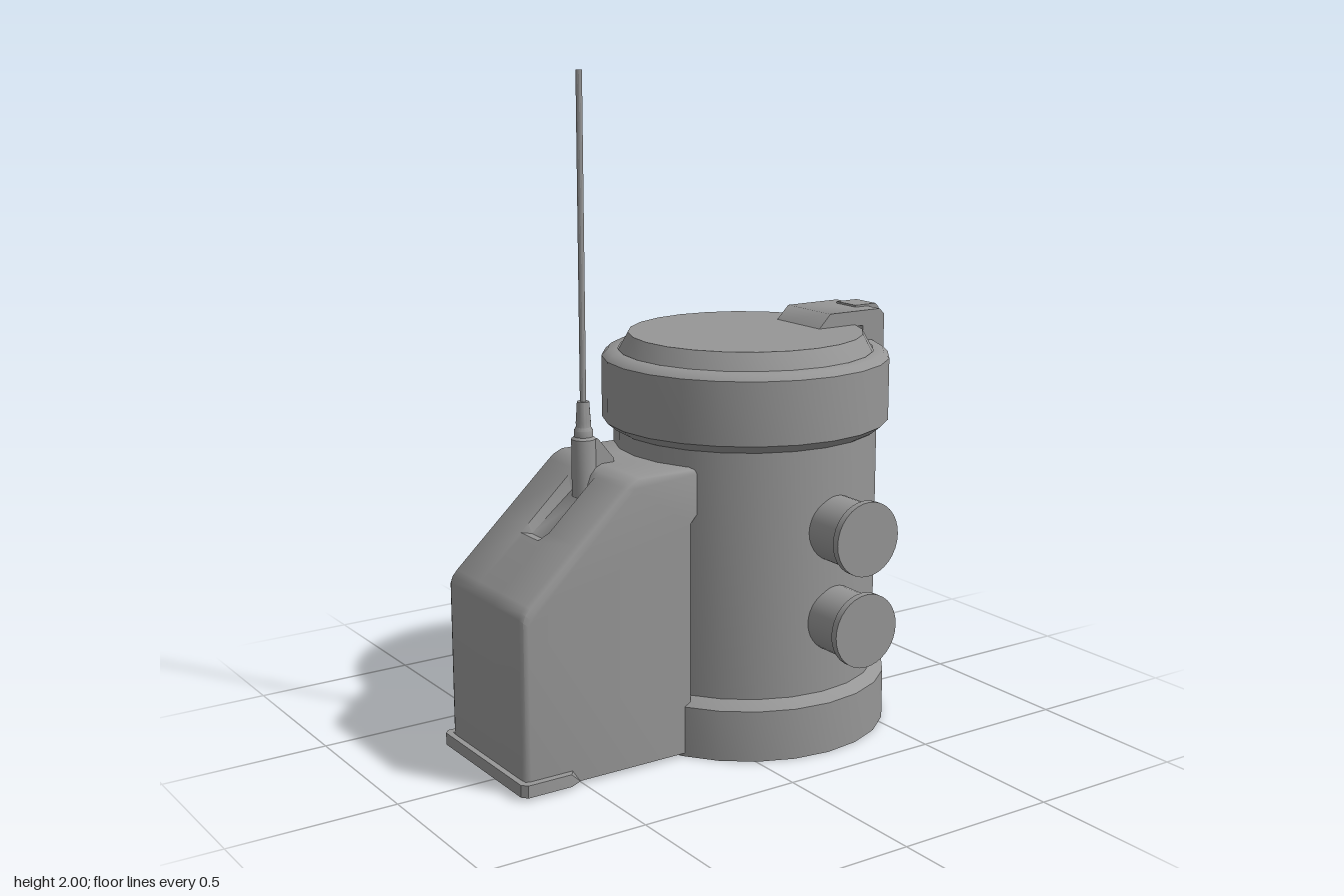
import * as THREE from 'three';
import { toCreasedNormals } from 'three/addons/utils/BufferGeometryUtils.js';

const material = new THREE.MeshStandardMaterial({ color: 0x969696, side: THREE.DoubleSide });
const CX = 0.223, CZ = -0.055; // axis of the drum; CZ is also the middle of every side part

function createPart(parent, name, geometry, x = 0, y = 0, z = 0, crease = 0.6) {
  const mesh = new THREE.Mesh(toCreasedNormals(geometry, crease), material);
  mesh.name = name;
  mesh.position.set(x, y, z);
  parent.add(mesh);
  return mesh;
}

const vectors = (pts) => pts.map(([x, y]) => new THREE.Vector2(x, y));
const lathe = (pts, segments) => new THREE.LatheGeometry(vectors(pts), segments);

// Side profile in x/y, extruded symmetrically along z
function slab(pts, width) {
  const g = new THREE.ExtrudeGeometry(new THREE.Shape(vectors(pts)), { depth: width, bevelEnabled: false });
  return g.translate(0, 0, -width / 2);
}

// Hollow housing: a roof strip with rounded rims and a shallow channel, plus two side walls
function housingGeometry() {
  const roof = [
    // x, y, channel depth
    [-0.687, 0.01, 0], [-0.687, 0.52, 0], [-0.68, 0.54, 0], [-0.665, 0.557, 0], [-0.53, 0.682, 0],
    [-0.505, 0.705, 0.025], [-0.37, 0.83, 0.04], [-0.35, 0.848, 0], [-0.335, 0.861, 0],
    [-0.305, 0.874, 0], [-0.095, 0.875, 0],
  ];
  const columns = [
    // z offset, rim inset, channel factor
    [-0.225, 0.018, 0], [-0.219, 0.006, 0], [-0.205, 0, 0], [-0.06, 0, 0], [-0.04, 0, 1],
    [0.04, 0, 1], [0.06, 0, 0], [0.205, 0, 0], [0.219, 0.006, 0], [0.225, 0.018, 0],
  ];
  const point = ([x, y, depth], [z, inset, channel]) =>
    [x + inset, Math.max(0.01, y - inset - depth * channel), CZ + z];
  const positions = [];
  const quad = (a, b, c, d) => positions.push(...a, ...b, ...c, ...a, ...c, ...d);
  for (let i = 0; i < roof.length - 1; i++) {
    for (let j = 0; j < columns.length - 1; j++) {
      quad(point(roof[i], columns[j]), point(roof[i], columns[j + 1]),
        point(roof[i + 1], columns[j + 1]), point(roof[i + 1], columns[j]));
    }
  }
  const end = [[-0.095, 0.75], [-0.13, 0.71], [-0.13, 0.01]];
  for (const column of [columns[0], columns[columns.length - 1]]) {
    // Side wall sharing the outer rim of the roof strip
    const outline = roof.map((p) => point(p, column).slice(0, 2)).concat(end);
    const wall = new THREE.ShapeGeometry(new THREE.Shape(vectors(outline))).toNonIndexed().attributes.position;
    for (let k = 0; k < wall.count; k++) {
      const v = column[0] > 0 ? k : wall.count - 1 - k;
      positions.push(wall.getX(v), wall.getY(v), CZ + column[0]);
    }
    // Narrow return that meets the drum
    const near = CZ + (column[0] > 0 ? 0.225 : -0.19), far = CZ + (column[0] > 0 ? 0.19 : -0.225);
    for (let k = 0; k < 2; k++) {
      quad([...end[k], near], [...end[k + 1], near], [...end[k + 1], far], [...end[k], far]);
    }
  }
  const g = new THREE.BufferGeometry();
  g.setAttribute('position', new THREE.Float32BufferAttribute(positions, 3));
  return g;
}

// U-shaped flange round the outer end of the housing, its arms tapering into the walls
function footGeometry() {
  const half = [[-0.51, 0.227], [-0.55, 0.247], [-0.69, 0.247], [-0.705, 0.23]];
  const inner = [[-0.685, 0.222], [-0.51, 0.222]];
  const mirror = (pts) => pts.map(([x, y]) => [x, -y]).reverse();
  const outline = [...half, ...mirror(half), ...mirror(inner), ...inner];
  const g = new THREE.ExtrudeGeometry(new THREE.Shape(vectors(outline)), { depth: 0.037, bevelEnabled: false });
  g.rotateX(-Math.PI / 2);
  const p = g.attributes.position;
  for (let i = 0; i < p.count; i++) {
    if (p.getY(i) > 0.02 && p.getX(i) > -0.53) p.setX(i, p.getX(i) - 0.025);
  }
  return g;
}

export function createModel() {
  const model = new THREE.Group();
  model.name = 'drumWithHousing';

  // Drum, open underneath: base ring, wall, upper band, smooth inner lip and lid
  createPart(model, 'drum', lathe([
    [0.437, 0], [0.437, 0.155], [0.402, 0.18], [0.402, 0.925], [0.41, 0.93], [0.437, 0.952], [0.437, 1.14],
    [0.42, 1.157], [0.388, 1.16],
  ], 24), CX, 0, CZ, 0.75);
  createPart(model, 'innerLip', lathe([[0.401, 0.19], [0.401, 0.155], [0.436, 0]], 24), CX, 0, CZ);
  createPart(model, 'lid', lathe([[0.39, 1.15], [0.357, 1.21], [0, 1.21]], 24), CX, 0, CZ, 0.4);

  // Two capped pipes on the front
  for (const y of [0.4, 0.676]) {
    const pipe = lathe([
      [0.098, 0.26], [0.098, 0.46], [0.111, 0.468], [0.111, 0.49], [0, 0.49],
    ], 32).rotateX(Math.PI / 2);
    createPart(model, 'pipe', pipe, 0.269, y, 0);
  }

  // Latch on the left: vertical rail, clamp over the lid and a raised tongue
  const latch = new THREE.Group();
  latch.name = 'latch';
  latch.position.set(0.003, 0, CZ);
  model.add(latch);
  createPart(latch, 'rail', slab([
    [0.58, 0.155], [0.648, 0.155], [0.648, 0.92], [0.58, 0.92],
  ], 0.19));
  createPart(latch, 'railBacking', slab([
    [0.58, 0.155], [0.622, 0.155], [0.622, 0.91], [0.58, 0.91],
  ], 0.21));
  createPart(latch, 'clamp', slab([
    [0.415, 1.205], [0.462, 1.252], [0.655, 1.252], [0.674, 1.235], [0.674, 0.932],
    [0.61, 0.878], [0.59, 0.895], [0.59, 1.205],
  ], 0.214), 0, 0, 0, 0.85);
  createPart(latch, 'tongue', slab([
    [0.608, 1.258], [0.688, 1.258], [0.7, 1.245], [0.7, 0.995], [0.68, 0.975], [0.608, 0.975],
  ], 0.095));

  // Side housing and its foot
  createPart(model, 'housing', housingGeometry(), 0, 0, 0, 0.75);
  createPart(model, 'housingFoot', footGeometry(), 0, 0.01, CZ);

  // Aerial: mount with a sloping brace, stepped socket and thin rod
  const aerial = new THREE.Group();
  aerial.name = 'aerial';
  aerial.position.set(-0.351, 0, CZ);
  model.add(aerial);
  createPart(aerial, 'mount', lathe([
    [0.036, 0.78], [0.036, 0.95], [0.028, 0.957], [0.028, 0.975], [0.022, 0.985], [0.022, 1.0],
    [0.018, 1.06], [0, 1.06],
  ], 16));
  createPart(aerial, 'brace', slab([
    [0, 0.84], [0.087, 0.86], [0.087, 0.885], [0.034, 0.95], [0, 0.95],
  ], 0.05));
  createPart(aerial, 'rod', new THREE.CylinderGeometry(0.009, 0.009, 0.95, 12), 0, 1.525, 0, 1);

  return model;
}
